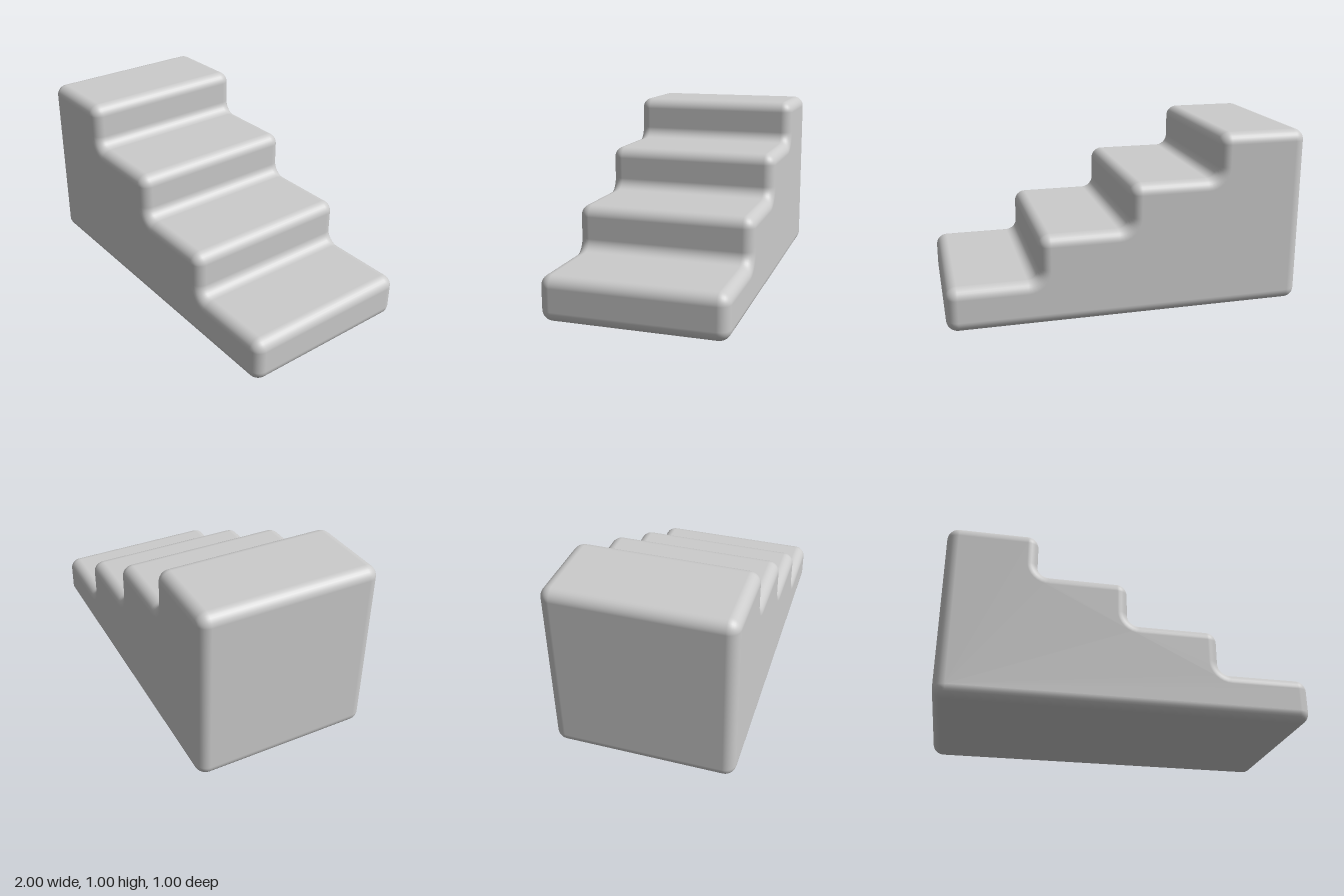
import * as THREE from 'three';

const R = 0.0625;      // edge and fillet radius
const SEG = 8;         // segments per rounded quarter
const STEPS = 4, RUN = 0.5, RISE = 0.25, HALF_DEPTH = 0.5;

// Sharp staircase corners, counter-clockwise, seen from the front
function stairCorners() {
  const pts = [new THREE.Vector2(-1, 0)];
  for (let i = 0; i < STEPS; i++) {
    const x = 1 - i * RUN;
    pts.push(new THREE.Vector2(x, i * RISE), new THREE.Vector2(x, (i + 1) * RISE));
  }
  pts.push(new THREE.Vector2(-1, STEPS * RISE));
  return pts;
}

// Rounded outline: points with outward normals; "cap" marks those that stay distinct when inset by R
function roundedOutline(corners) {
  const outline = [];
  corners.forEach((p, k) => {
    const prev = corners[(k + corners.length - 1) % corners.length];
    const next = corners[(k + 1) % corners.length];
    const a = p.clone().sub(prev).normalize(), b = next.clone().sub(p).normalize();
    const n0 = new THREE.Vector2(a.y, -a.x), n1 = new THREE.Vector2(b.y, -b.x);
    const side = a.cross(b) > 0 ? 1 : -1; // 1 convex, -1 concave
    const centre = p.clone().addScaledVector(n0, -side * R).addScaledVector(n1, -side * R);
    for (let i = 0; i <= SEG; i++) {
      const t = (i / SEG) * Math.PI / 2;
      const n = n0.clone().multiplyScalar(Math.cos(t)).addScaledVector(n1, Math.sin(t));
      outline.push({ p: centre.clone().addScaledVector(n, side * R), n, cap: side < 0 || i === 0 });
    }
  });
  return outline;
}

// Sweep the outline along z, insetting it over a quarter circle at both ends
function stairGeometry() {
  const outline = roundedOutline(stairCorners());
  const count = outline.length, rings = 2 * (SEG + 1);
  const positions = [], normals = [], index = [];
  for (let r = 0; r < rings; r++) {
    const front = r > SEG;
    const t = (front ? r - SEG - 1 : r - SEG) / SEG * Math.PI / 2;
    const c = Math.cos(t), s = Math.sin(t);
    const z = (front ? 1 : -1) * (HALF_DEPTH - R) + R * s;
    for (const { p, n } of outline) {
      const inset = R * (1 - c);
      positions.push(p.x - n.x * inset, p.y - n.y * inset, z);
      normals.push(n.x * c, n.y * c, s);
    }
  }
  for (let r = 0; r < rings - 1; r++) {
    for (let j = 0; j < count; j++) {
      const k = (j + 1) % count;
      const a = r * count + j, b = r * count + k, c = a + count, d = b + count;
      index.push(a, b, d, a, d, c);
    }
  }
  // Flat front and back faces
  const ids = outline.map((o, j) => j).filter(j => outline[j].cap);
  const contour = ids.map(j => outline[j].p.clone().addScaledVector(outline[j].n, -R));
  const last = (rings - 1) * count;
  for (const [a, b, c] of THREE.ShapeUtils.triangulateShape(contour, [])) {
    index.push(last + ids[a], last + ids[b], last + ids[c], ids[a], ids[c], ids[b]);
  }
  const geometry = new THREE.BufferGeometry();
  geometry.setAttribute('position', new THREE.Float32BufferAttribute(positions, 3));
  geometry.setAttribute('normal', new THREE.Float32BufferAttribute(normals, 3));
  geometry.setIndex(index);
  return geometry;
}

export function createModel() {
  const group = new THREE.Group();
  group.name = 'staircase';
  const stairs = new THREE.Mesh(stairGeometry(), new THREE.MeshStandardMaterial({ color: 0xcccccc }));
  stairs.name = 'steps';
  group.add(stairs);
  return group;
}
